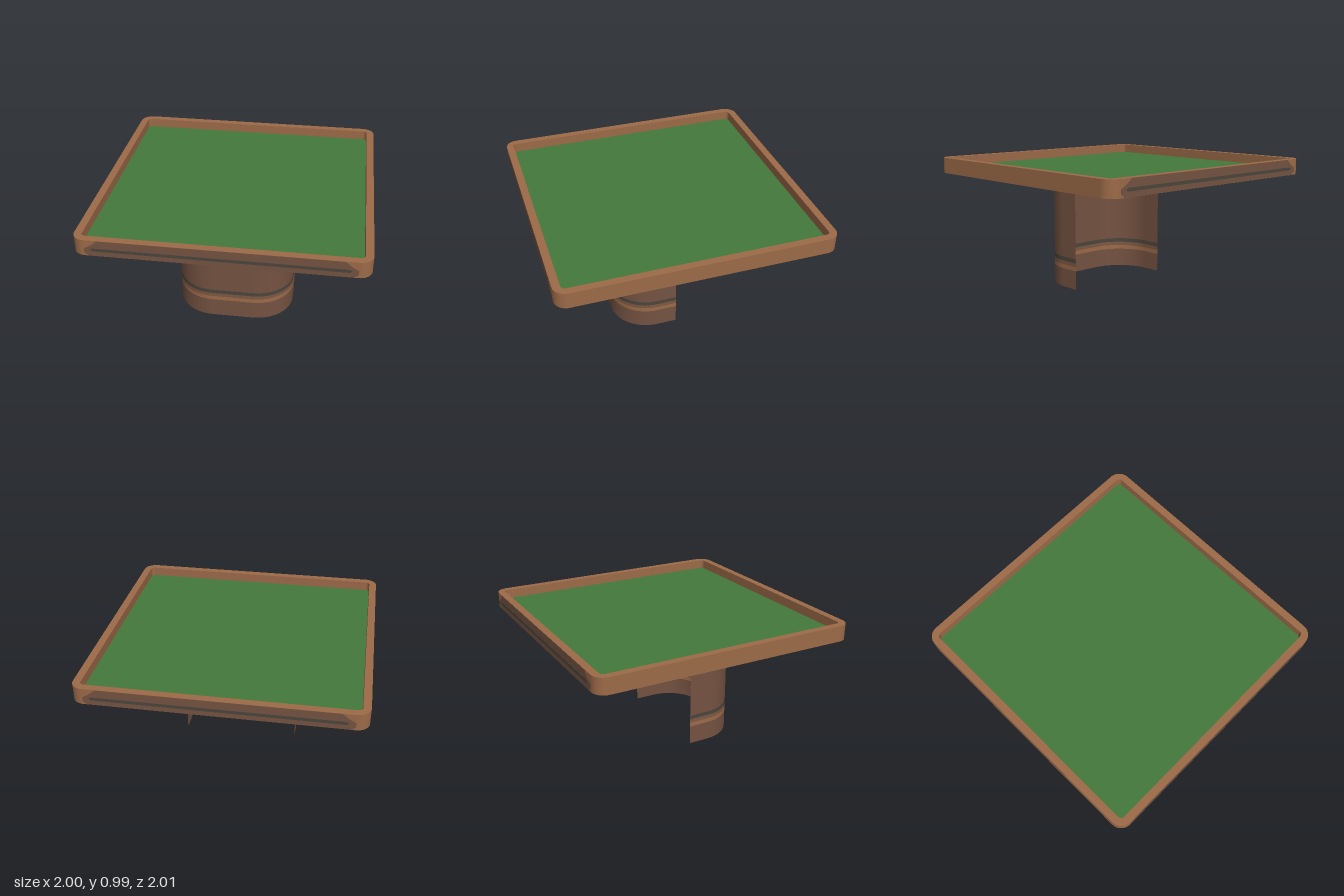
import * as THREE from 'three';

const material = (name, color) => {
  const m = new THREE.MeshStandardMaterial({ color, side: THREE.DoubleSide });
  m.name = name;
  return m;
};

// Rounded square in plan; starts mid-edge so the seam falls on a flat
function roundedSquare(half, r) {
  const s = new THREE.Shape();
  const c = half - r;
  s.moveTo(0, -half);
  s.lineTo(c, -half);
  s.absarc(c, -c, r, -Math.PI / 2, 0, false);
  s.lineTo(half, c);
  s.absarc(c, c, r, 0, Math.PI / 2, false);
  s.lineTo(-c, half);
  s.absarc(-c, c, r, Math.PI / 2, Math.PI, false);
  s.lineTo(-half, -c);
  s.absarc(-c, -c, r, Math.PI, Math.PI * 1.5, false);
  s.lineTo(0, -half);
  return s;
}

// Upright sheet following a plan path, from y0 to y1 (path y becomes -z)
function ribbon(points, y0, y1) {
  const pos = [], index = [];
  points.forEach((p, i) => {
    pos.push(p.x, y0, -p.y, p.x, y1, -p.y);
    if (i > 0) {
      const a = 2 * (i - 1);
      index.push(a, a + 2, a + 3, a, a + 3, a + 1);
    }
  });
  const g = new THREE.BufferGeometry();
  g.setAttribute('position', new THREE.Float32BufferAttribute(pos, 3));
  g.setIndex(index);
  g.computeVertexNormals();
  return g;
}

// Mirrored face plate from its right-hand outline, bottom to top
function plate(side) {
  const left = side.map(([x, y]) => [-x, y]).reverse();
  const s = new THREE.Shape([...side, ...left].map(([x, y]) => new THREE.Vector2(x, y)));
  return new THREE.ExtrudeGeometry(s, { depth: 0.006, bevelEnabled: false });
}

export function createModel() {
  const tan = material('tanWood', 0x9c6a48);
  const brown = material('brownWood', 0x745241);
  const midBrown = material('midBrownWood', 0x7d5843);
  const dark = material('darkStripe', 0x4b453c);
  const green = material('greenFelt', 0x44783b);

  const model = new THREE.Group();
  model.name = 'table';
  const add = (name, geometry, mat, parent = model) => {
    const mesh = new THREE.Mesh(geometry, mat);
    mesh.name = name;
    parent.add(mesh);
    return mesh;
  };

  const TOP = 0.985, FELT = 0.915, SKIRT = 0.865;

  // Table top: felt sheet inside a raised rim with an open skirt below
  const outer = roundedSquare(1, 0.09);
  const inner = roundedSquare(0.945, 0.03);
  const ring = roundedSquare(1, 0.09);
  ring.holes.push(inner);
  add('felt', new THREE.ShapeGeometry(outer, 8).rotateX(-Math.PI / 2).translate(0, FELT, 0), green);
  add('rimTop', new THREE.ShapeGeometry(ring, 8).rotateX(-Math.PI / 2).translate(0, TOP, 0), tan);
  add('rimOuterWall', ribbon(outer.getPoints(8), SKIRT, TOP), tan);
  add('rimInnerWall', ribbon(inner.getPoints(8).reverse(), FELT, TOP), tan);

  // Brown panel and dark stripe on the front and back of the rim
  const panel = plate([[0.88, 0.866], [0.91, 0.89], [0.91, 0.92], [0.86, 0.95], [0.82, 0.984]]);
  const stripe = plate([[0.85, 0.902], [0.87, 0.913], [0.85, 0.925]]);
  for (const [name, turn] of [['front', 0], ['back', Math.PI]]) {
    const face = new THREE.Group();
    face.name = name + 'RimFace';
    face.rotation.y = turn;
    model.add(face);
    add('panel', panel, brown, face).position.z = 0.9955;
    add('stripe', stripe, dark, face).position.z = 0.9965;
  }

  // Pedestal: thin U-shaped shell, open at the back, split into bands
  const H = 0.445, R = 0.29, C = H - R;
  const u = new THREE.Path();
  u.moveTo(-H, 0);
  u.lineTo(-H, -C);
  u.absarc(-C, -C, R, Math.PI, Math.PI * 1.5, false);
  u.lineTo(C, -H);
  u.absarc(C, -C, R, -Math.PI / 2, 0, false);
  u.lineTo(H, 0);
  const path = u.getPoints(14);
  const bands = [
    ['pedestalFoot', 0, 0.145, brown],
    ['pedestalTanBand', 0.145, 0.178, tan],
    ['pedestalMidBand', 0.178, 0.207, midBrown],
    ['pedestalDarkBand', 0.207, 0.238, dark],
    ['pedestalBody', 0.238, FELT, brown],
  ];
  for (const [name, y0, y1, mat] of bands) add(name, ribbon(path, y0, y1), mat);

  return model;
}
